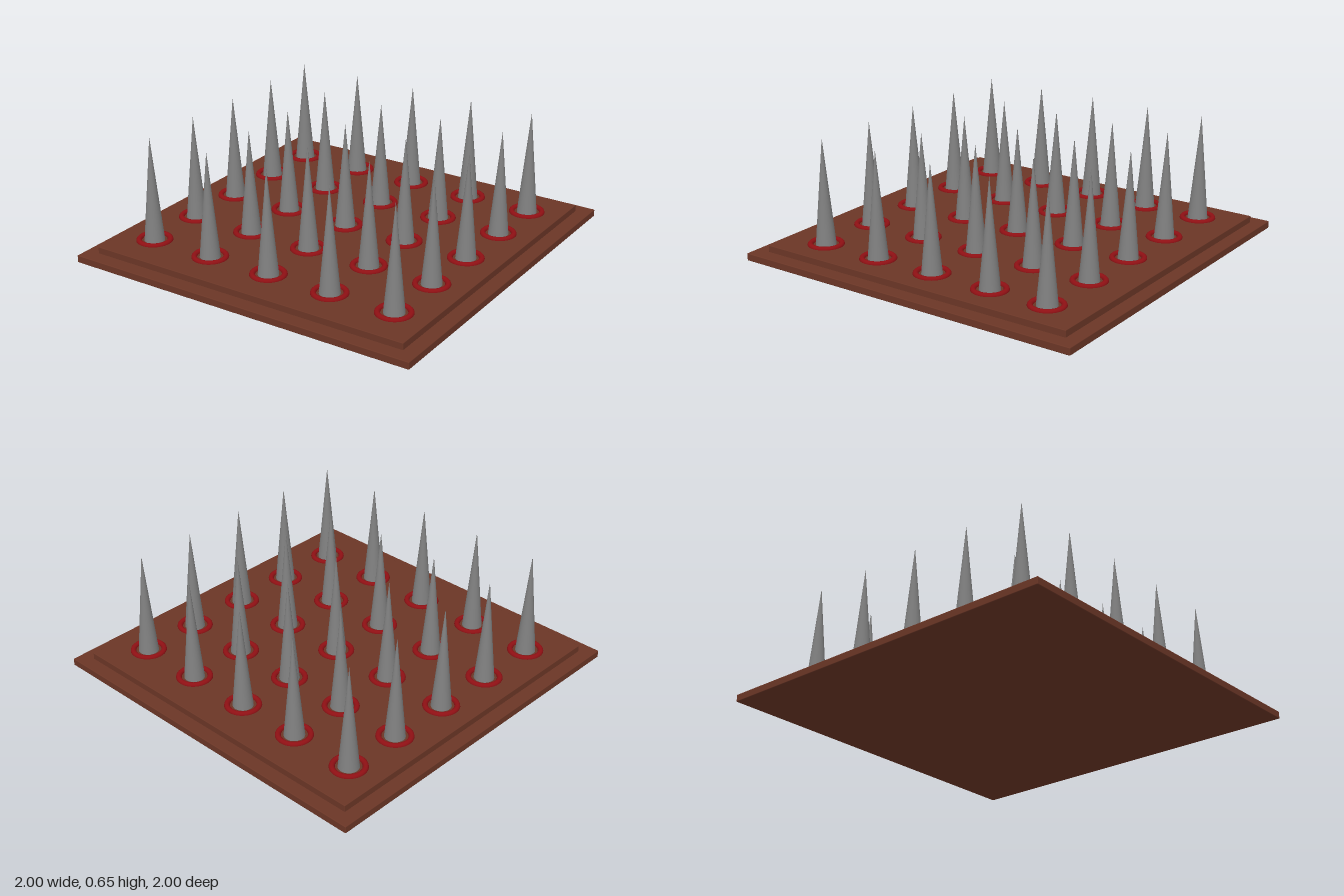
import * as THREE from 'three';
import { RoundedBoxGeometry } from 'three/addons/geometries/RoundedBoxGeometry.js';

export function createModel() {
  const model = new THREE.Group();
  model.name = 'spikeTrap';

  const wood = new THREE.MeshStandardMaterial({ color: 0x6b3626 });
  const red = new THREE.MeshStandardMaterial({ color: 0x8f1014 });
  const steel = new THREE.MeshStandardMaterial({ color: 0x808080 });

  const add = (name, geometry, material, x, y, z, parent = model) => {
    const mesh = new THREE.Mesh(geometry, material);
    mesh.name = name;
    mesh.position.set(x, y, z);
    parent.add(mesh);
    return mesh;
  };

  // Two stacked slabs with slightly softened edges
  add('basePlate', new RoundedBoxGeometry(2, 0.04, 2, 2, 0.004), wood, 0, 0.02, 0);
  add('upperPlate', new RoundedBoxGeometry(1.845, 0.05, 1.845, 2, 0.003), wood, -0.002, 0.051, -0.002);

  // Shared spike and collar shapes, both standing on the upper plate
  const plateTop = 0.076;
  const spikeHeight = 0.575;
  const spikeGeometry = new THREE.ConeGeometry(0.054, spikeHeight, 32);
  const collarGeometry = new THREE.TorusGeometry(0.082, 0.015, 12, 40).rotateX(Math.PI / 2);

  // Five by five field of spikes
  const columns = [-0.737, -0.37, -0.003, 0.365, 0.732];
  const rows = [-0.697, -0.364, -0.01, 0.337, 0.69];
  for (const z of rows) {
    for (const x of columns) {
      const unit = new THREE.Group();
      unit.name = 'spikeWithCollar';
      unit.position.set(x, plateTop, z);
      add('spike', spikeGeometry, steel, 0, spikeHeight / 2, 0, unit);
      add('collar', collarGeometry, red, 0, 0, 0, unit);
      model.add(unit);
    }
  }
  return model;
}
